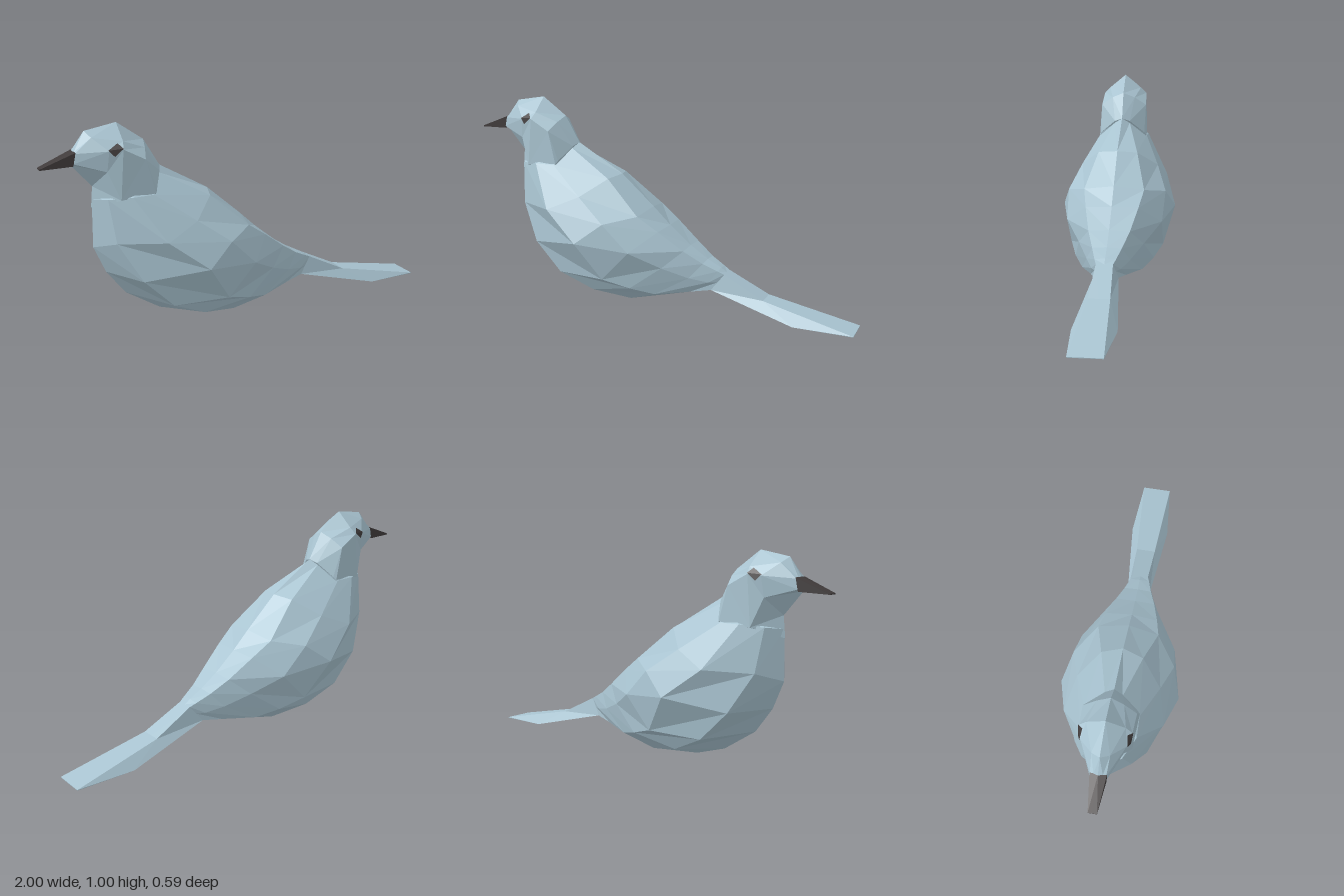
import * as THREE from 'three';

const plumage = new THREE.MeshStandardMaterial({ color: 0xa9c4d1 });
plumage.name = 'pale blue plumage';
const dark = new THREE.MeshStandardMaterial({ color: 0x403b3b });
dark.name = 'dark horn';

// Flat-shaded geometry from a list of [a, b, c] triangles
function facets(triangles) {
  const geometry = new THREE.BufferGeometry();
  geometry.setAttribute('position', new THREE.Float32BufferAttribute(triangles.flat(2), 3));
  geometry.computeVertexNormals();
  return geometry;
}

// Closed loft through half rings (top centre, left side, bottom centre), mirrored in z
function loft(halfRings) {
  const rings = halfRings.map((half) => [
    ...half,
    ...half.slice(1, -1).reverse().map(([x, y, z]) => [x, y, -z]),
  ]);
  const n = rings[0].length;
  const triangles = [];
  for (let i = 0; i < rings.length - 1; i++) {
    for (let j = 0; j < n; j++) {
      const k = (j + 1) % n;
      const [a, b, c, d] = [rings[i][j], rings[i][k], rings[i + 1][j], rings[i + 1][k]];
      // flip the diagonal on the right half so both sides match
      if (j < n / 2) triangles.push([a, b, c], [b, d, c]);
      else triangles.push([a, b, d], [a, d, c]);
    }
  }
  const first = rings[0];
  const last = rings[rings.length - 1];
  for (let j = 1; j < n - 1; j++) {
    triangles.push([first[0], first[j + 1], first[j]], [last[0], last[j], last[j + 1]]);
  }
  return facets(triangles);
}

export function createModel() {
  const bird = new THREE.Group();
  bird.name = 'bird';
  const add = (name, geometry, material) => {
    const mesh = new THREE.Mesh(geometry, material);
    mesh.name = name;
    bird.add(mesh);
  };

  // Body: rings from the neck, fanning round the belly, to the root of the tail
  add('body', loft([
    [[-0.44, 0.78, 0], [-0.46, 0.755, 0.04], [-0.52, 0.68, 0.128], [-0.62, 0.68, 0.13], [-0.72, 0.67, 0.08], [-0.77, 0.66, 0]],
    [[-0.2, 0.64, 0], [-0.23, 0.63, 0.1], [-0.34, 0.55, 0.2], [-0.5, 0.48, 0.24], [-0.7, 0.47, 0.12], [-0.775, 0.43, 0]],
    [[-0.03, 0.49, 0], [-0.05, 0.47, 0.15], [-0.19, 0.44, 0.25], [-0.32, 0.34, 0.295], [-0.6, 0.29, 0.18], [-0.72, 0.3, 0]],
    [[0.06, 0.405, 0], [0.05, 0.4, 0.13], [-0.06, 0.31, 0.24], [-0.2, 0.16, 0.24], [-0.46, 0.15, 0.19], [-0.63, 0.18, 0]],
    [[0.17, 0.315, 0], [0.17, 0.31, 0.1], [0.08, 0.23, 0.16], [-0.07, 0.12, 0.2], [-0.29, 0.07, 0.16], [-0.46, 0.07, 0]],
    [[0.26, 0.255, 0], [0.26, 0.25, 0.07], [0.2, 0.18, 0.105], [0.04, 0.09, 0.15], [-0.11, 0.03, 0.1], [-0.3, 0.02, 0]],
    [[0.33, 0.22, 0], [0.33, 0.215, 0.05], [0.29, 0.16, 0.07], [0.2, 0.105, 0.085], [0.08, 0.075, 0.06], [-0.1, 0.015, 0]],
    [[0.36, 0.2, 0], [0.36, 0.2, 0.04], [0.33, 0.16, 0.05], [0.3, 0.12, 0.06], [0.3, 0.12, 0.03], [0.3, 0.12, 0]],
  ]), plumage);

  // Head: from the base of the beak back to the nape, ending inside the body
  add('head', loft([
    [[-0.85, 0.89, 0], [-0.845, 0.89, 0.02], [-0.845, 0.885, 0.035], [-0.855, 0.84, 0.035], [-0.86, 0.83, 0]],
    [[-0.79, 0.975, 0], [-0.77, 0.95, 0.04], [-0.71, 0.895, 0.1], [-0.72, 0.8, 0.09], [-0.765, 0.72, 0]],
    [[-0.64, 1, 0], [-0.64, 0.93, 0.085], [-0.65, 0.9, 0.115], [-0.67, 0.67, 0.118], [-0.775, 0.62, 0]],
    [[-0.515, 0.91, 0], [-0.53, 0.885, 0.06], [-0.55, 0.845, 0.12], [-0.51, 0.685, 0.127], [-0.6, 0.55, 0]],
    [[-0.44, 0.78, 0], [-0.455, 0.765, 0.04], [-0.5, 0.7, 0.115], [-0.5, 0.65, 0.1], [-0.5, 0.55, 0]],
  ]), plumage);

  // Tail: a thin tapering wedge that widens towards its end
  add('tail', loft([
    [[0.36, 0.2, 0], [0.36, 0.2, 0.04], [0.3, 0.12, 0.06], [0.3, 0.12, 0]],
    [[0.56, 0.1, 0], [0.56, 0.1, 0.05], [0.72, 0.012, 0.1], [0.72, 0.012, 0]],
    [[1, 0.003, 0], [1, 0.003, 0.075], [1, 0, 0.075], [1, 0, 0]],
  ]), plumage);

  // Beak
  add('beak', loft([
    [[-1, 0.83, 0], [-1, 0.83, 0.02], [-1, 0.825, 0.02], [-1, 0.825, 0]],
    [[-0.845, 0.893, 0], [-0.842, 0.89, 0.037], [-0.855, 0.83, 0.037], [-0.86, 0.828, 0]],
  ]), dark);

  // Eyes: diamonds folded over the brow on each side
  for (const side of [1, -1]) {
    const [front, back, top, bottom] = [
      [-0.715, 0.9, 0.103], [-0.65, 0.905, 0.119], [-0.67, 0.927, 0.096], [-0.69, 0.872, 0.115],
    ].map(([x, y, z]) => [x, y, z * side]);
    const triangles = [[front, back, top], [front, bottom, back]];
    if (side < 0) triangles.forEach((t) => t.reverse());
    add(side > 0 ? 'leftEye' : 'rightEye', facets(triangles), dark);
  }
  return bird;
}
